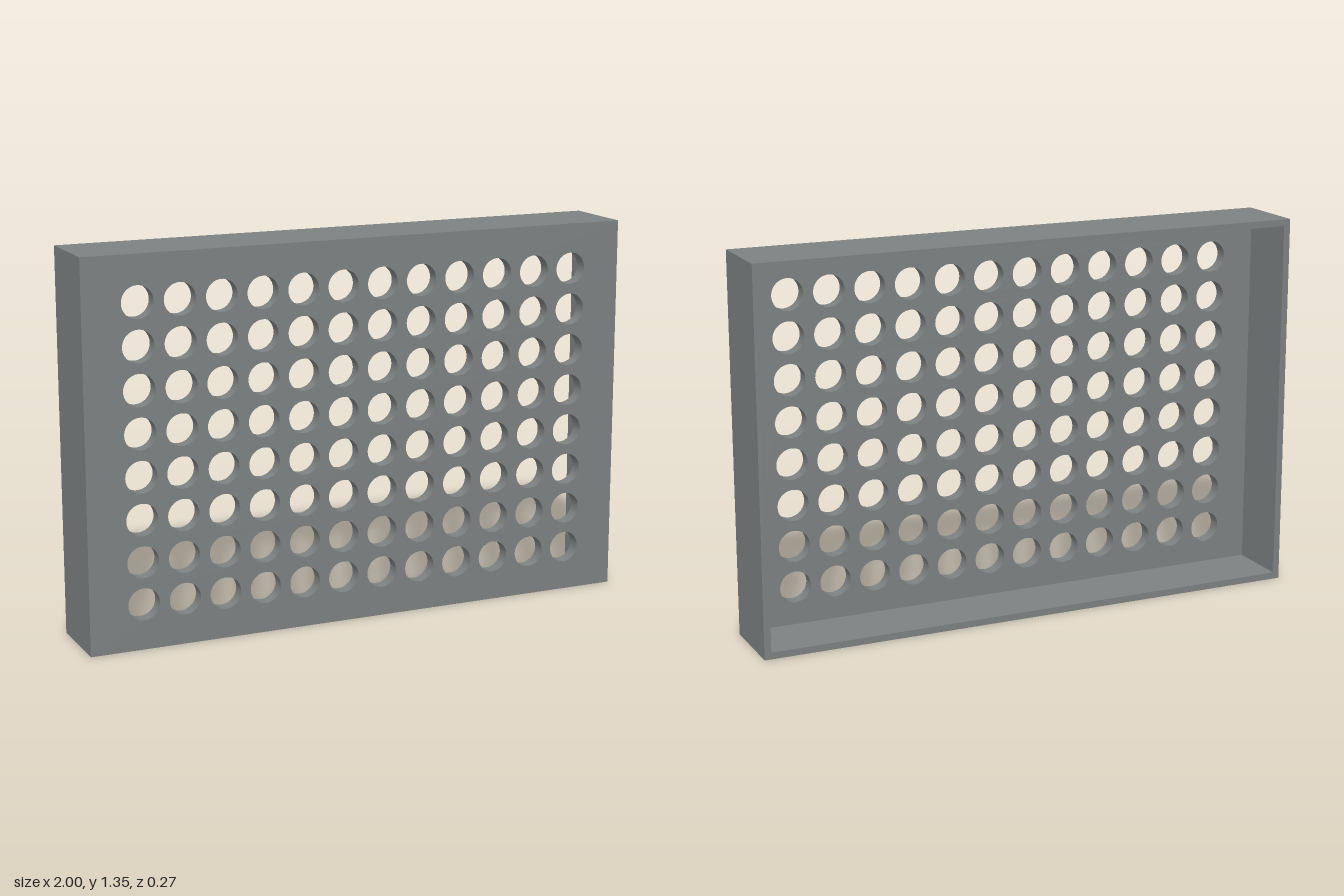
import * as THREE from 'three';
import { toCreasedNormals } from 'three/addons/utils/BufferGeometryUtils.js';

const W = 2, H = 1.348, D = 0.274; // outer size
const WALL = 0.024, PLATE = 0.048; // rim and front plate thickness
const COLS = 12, ROWS = 8, PITCH = 0.147, RADIUS = 0.056;

// Rectangle centred on x = 0, standing between y = inset and y = H - inset
function rectangle(PathType, inset) {
  const x = W / 2 - inset;
  const path = new PathType();
  path.moveTo(-x, inset);
  path.lineTo(x, inset);
  path.lineTo(x, H - inset);
  path.lineTo(-x, H - inset);
  path.closePath();
  return path;
}

function extrude(name, shape, depth, z, material) {
  const solid = new THREE.ExtrudeGeometry(shape, { depth, bevelEnabled: false, curveSegments: 32 });
  const mesh = new THREE.Mesh(toCreasedNormals(solid, Math.PI / 6), material);
  mesh.name = name;
  mesh.position.z = z;
  return mesh;
}

export function createModel() {
  const group = new THREE.Group();
  group.name = 'perforatedTray';
  const material = new THREE.MeshStandardMaterial({ color: 0x7c8181 });

  // Front plate with a grid of round holes
  const plate = rectangle(THREE.Shape, 0);
  for (let row = 0; row < ROWS; row++) {
    for (let col = 0; col < COLS; col++) {
      const hole = new THREE.Path();
      const x = (col - (COLS - 1) / 2) * PITCH;
      const y = H / 2 + (row - (ROWS - 1) / 2) * PITCH;
      hole.absarc(x, y, RADIUS, 0, Math.PI * 2, true);
      plate.holes.push(hole);
    }
  }
  group.add(extrude('perforatedPlate', plate, PLATE, D / 2 - PLATE, material));

  // Thin rim around the open back
  const rim = rectangle(THREE.Shape, 0);
  rim.holes.push(rectangle(THREE.Path, WALL));
  group.add(extrude('rim', rim, D - PLATE, -D / 2, material));

  return group;
}
